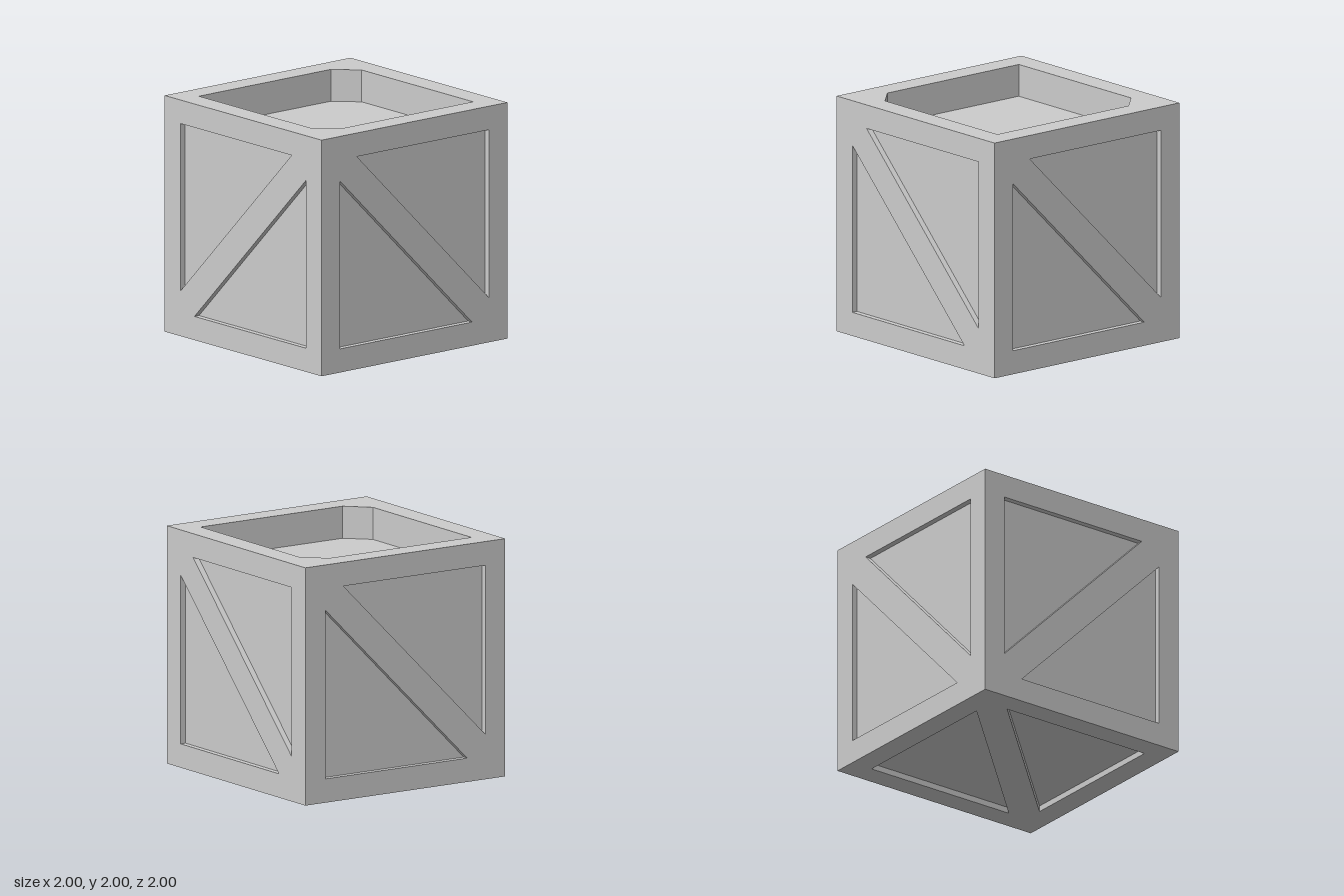
import * as THREE from 'three';

const HALF = 1;        // half the crate's edge
const IN = 0.8;        // inner edge of the border
const CUT = 0.62;      // where the diagonal brace meets the border
const SHALLOW = 0.05;  // recess beside the braces
const DEEP = 0.27;     // open tray in the top

// Two triangular recesses either side of a brace (upper left to lower right)
const BRACED = [
  [[-CUT, IN], [IN, -CUT], [IN, IN]],
  [[-IN, CUT], [-IN, -IN], [CUT, -IN]],
];
// Square tray with two opposite corners cut off
const TRAY = [
  [[-CUT, -IN], [IN, -IN], [IN, CUT], [CUT, IN], [-IN, IN], [-IN, -CUT]],
];

const toPoints = (list, mirror) => {
  const pts = list.map(([x, y]) => new THREE.Vector2(mirror ? -x : x, y));
  return THREE.ShapeUtils.isClockWise(pts) ? pts.reverse() : pts;
};

// Walls running inwards from an anticlockwise outline
function wallGeometry(pts, depth) {
  const pos = [];
  pts.forEach((a, i) => {
    const b = pts[(i + 1) % pts.length];
    const low = HALF - depth;
    pos.push(a.x, a.y, HALF, b.x, b.y, HALF, b.x, b.y, low);
    pos.push(a.x, a.y, HALF, b.x, b.y, low, a.x, a.y, low);
  });
  const geo = new THREE.BufferGeometry();
  geo.setAttribute('position', new THREE.Float32BufferAttribute(pos, 3));
  geo.computeVertexNormals();
  return geo;
}

// One crate side, built facing +z
function makeSide(name, holes, depth, mirror, material) {
  const side = new THREE.Group();
  side.name = name;
  const add = (part, geo) => {
    const mesh = new THREE.Mesh(geo, material);
    mesh.name = part;
    side.add(mesh);
  };

  const outline = new THREE.Shape([
    new THREE.Vector2(-HALF, -HALF), new THREE.Vector2(HALF, -HALF),
    new THREE.Vector2(HALF, HALF), new THREE.Vector2(-HALF, HALF),
  ]);
  for (const hole of holes) {
    const pts = toPoints(hole, mirror);
    outline.holes.push(new THREE.Path(pts));
    add('recessWalls', wallGeometry(pts, depth));
    add('recessPanel', new THREE.ShapeGeometry(new THREE.Shape(pts)).translate(0, 0, HALF - depth));
  }
  add('frame', new THREE.ShapeGeometry(outline).translate(0, 0, HALF));
  return side;
}

export function createModel() {
  const crate = new THREE.Group();
  crate.name = 'crate';
  const material = new THREE.MeshStandardMaterial({ color: 0xcccccc, flatShading: true });
  const Q = Math.PI / 2;

  // name, recesses, depth, mirrored brace, rotation about x, rotation about y
  const sides = [
    ['frontSide', BRACED, SHALLOW, false, 0, 0],
    ['leftSide', BRACED, SHALLOW, false, 0, Q],
    ['backSide', BRACED, SHALLOW, false, 0, 2 * Q],
    ['rightSide', BRACED, SHALLOW, true, 0, -Q],
    ['topTray', TRAY, DEEP, false, -Q, 0],
    ['bottomSide', BRACED, SHALLOW, true, Q, 0],
  ];
  for (const [name, holes, depth, mirror, rx, ry] of sides) {
    const side = makeSide(name, holes, depth, mirror, material);
    side.rotation.set(rx, ry, 0);
    side.position.y = HALF;
    crate.add(side);
  }
  return crate;
}
